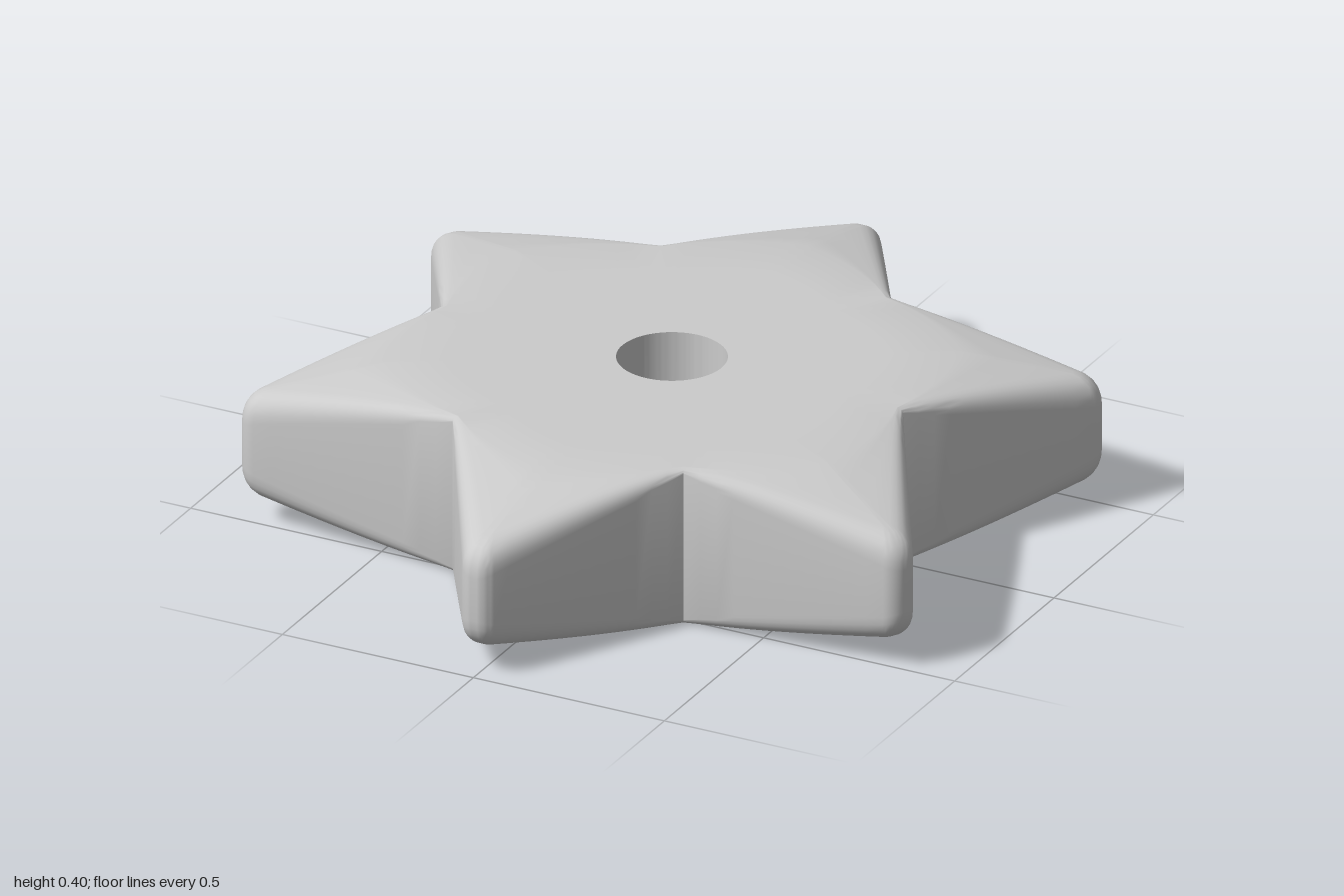
import * as THREE from 'three';
import { toCreasedNormals } from 'three/addons/utils/BufferGeometryUtils.js';

const H = 0.4;        // full thickness
const HOLE = 0.13;    // centre hole radius
const NOTCH = 0.605;  // radius of the inner corners
const TIP = NOTCH * Math.sqrt(3); // unrounded tip radius
const RHO = 0.048;    // rounding of each tip, seen from above
const { lerp } = THREE.MathUtils;

// Radius at which the flat top starts to slope, by angle from the tip axis
const flatRadius = (angle) => lerp(0.67, 0.59, Math.abs(angle) / (Math.PI / 6));
const height = (u, v) =>
  H - 0.23 * Math.max(0, Math.hypot(u, v) - flatRadius(Math.atan2(v, u)));

// Half outline of one point, from notch to apex (u along the axis, v across)
function halfOutline() {
  const pts = [];
  const notch = [NOTCH * Math.cos(Math.PI / 6), NOTCH / 2];
  const c = TIP - 2 * RHO;
  const end = [c + RHO * Math.cos(Math.PI / 3), RHO * Math.sin(Math.PI / 3)];
  for (let i = 0; i <= 12; i++) {
    const f = i / 12;
    pts.push({
      u: lerp(notch[0], end[0], f), v: lerp(notch[1], end[1], f),
      s: 0.9 * f, w: 0.012 + 0.05 * f ** 0.6,
    });
  }
  for (let i = 1; i <= 6; i++) {
    const a = (Math.PI / 3) * (1 - i / 6);
    pts.push({ u: c + RHO * Math.cos(a), v: RHO * Math.sin(a), s: 0.9, w: 0.062 + 0.008 * i / 6 });
  }
  return pts;
}

// Cross-section from the hole over the top, down the wall and back underneath
function section({ u, v, s, w }) {
  const k = w / Math.hypot(u - s, v);
  const iu = lerp(u, s, k), iv = lerp(v, 0, k);
  const r = Math.hypot(iu, iv), angle = Math.atan2(iv, iu);
  const top = [];
  const atRadius = (q) => {
    const a = q * Math.cos(angle), b = q * Math.sin(angle);
    top.push([a, height(a, b), b]);
  };
  const flat = Math.min(flatRadius(angle), r - 0.006);
  for (const t of [0, 0.35, 0.7, 1]) atRadius(lerp(HOLE, flat, t));
  for (const t of [0.33, 0.67, 1]) atRadius(lerp(flat, r, t));
  // rounded upper edge
  const yi = height(iu, iv), yo = height(u, v);
  for (let i = 1; i <= 6; i++) {
    const t = i / 6, p = (1 - t) ** 2, m = 2 * t * (1 - t), q = t * t;
    top.push([p * iu + (m + q) * u, p * yi + m * yo + q * (yo - w), p * iv + (m + q) * v]);
  }
  const bottom = top.map(([a, y, b]) => [a, H - y, b]).reverse();
  return [...top, ...bottom];
}

function starGeometry() {
  const half = halfOutline();
  const mirrored = half.map((p) => ({ ...p, v: -p.v }));
  const outline = [...mirrored, ...half.slice(1, -1).reverse()];
  const sections = outline.map(section);
  const n = sections[0].length, positions = [], index = [];
  for (let k = 0; k < 6; k++) {
    const a = (k * Math.PI) / 3, sin = Math.sin(a), cos = Math.cos(a);
    for (const sec of sections)
      for (const [u, y, v] of sec) positions.push(u * sin + v * cos, y, u * cos - v * sin);
  }
  const count = sections.length * 6;
  for (let i = 0; i < count; i++) {
    const i2 = (i + 1) % count;
    for (let j = 0; j < n; j++) {
      const j2 = (j + 1) % n; // the last step closes the hole wall
      const a = i * n + j, b = i * n + j2, c = i2 * n + j2, d = i2 * n + j;
      index.push(a, b, d, b, c, d);
    }
  }
  const geo = new THREE.BufferGeometry();
  geo.setAttribute('position', new THREE.Float32BufferAttribute(positions, 3));
  geo.setIndex(index);
  return toCreasedNormals(geo, 0.7);
}

export function createModel() {
  const group = new THREE.Group();
  group.name = 'sixPointedStar';
  const star = new THREE.Mesh(starGeometry(), new THREE.MeshStandardMaterial({ color: 0xcccccc }));
  star.name = 'starBody';
  group.add(star);
  return group;
}
